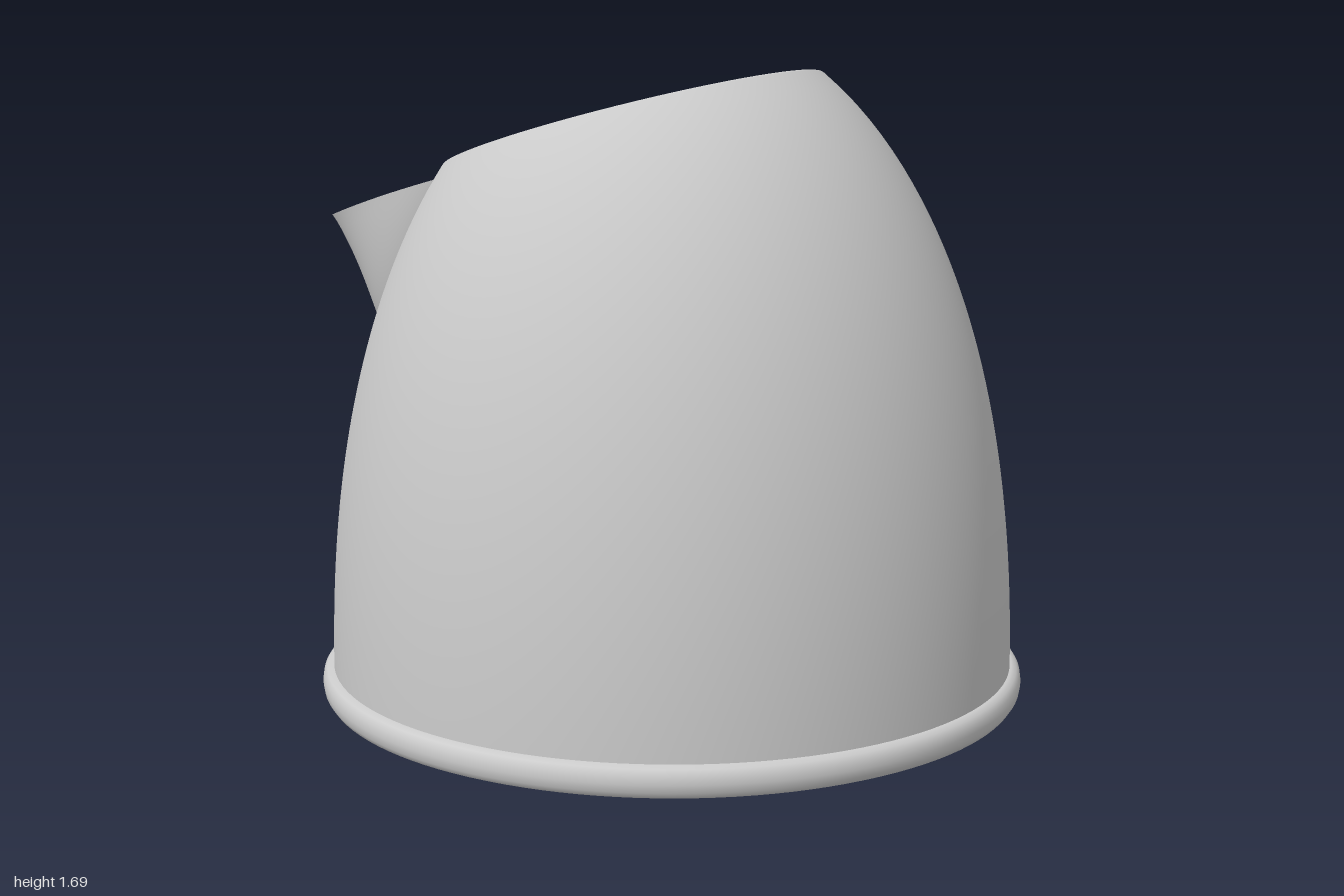
import * as THREE from 'three';

const material = new THREE.MeshStandardMaterial({ color: 0xcccccc, side: THREE.DoubleSide });
const { lerp } = THREE.MathUtils;

// Surface from rows of points; wrap joins the last column to the first.
function loft(rows, wrap) {
  const n = rows[0].length, cols = wrap ? n : n - 1, index = [];
  for (let i = 0; i < rows.length - 1; i++) {
    for (let j = 0; j < cols; j++) {
      const a = i * n + j, c = i * n + ((j + 1) % n);
      index.push(a, a + n, c, a + n, c + n, c);
    }
  }
  const geometry = new THREE.BufferGeometry().setFromPoints(rows.flat());
  geometry.setIndex(index);
  geometry.computeVertexNormals();
  return geometry;
}

function addMesh(parent, name, geometry) {
  const mesh = new THREE.Mesh(geometry, material);
  mesh.name = name;
  parent.add(mesh);
}

// Dome radius at a height, and the slanted plane that cuts the mouth.
const radiusAt = (y) => 0.94 * Math.sqrt(1 - Math.pow(Math.max(y, 0) / 1.841, 2.3));
const cutAt = (u) => 1.58 + 0.255 * u;

function mouthHeight(angle) {
  let low = 1, high = 1.84;
  for (let k = 0; k < 40; k++) {
    const mid = (low + high) / 2;
    if (mid < cutAt(radiusAt(mid) * Math.cos(angle))) low = mid;
    else high = mid;
  }
  return low;
}

// Thin dome: outer wall, rounded lip, inner wall
function bodyGeometry() {
  const around = 128, steps = 40, lip = 8, wall = 0.024;
  const rows = Array.from({ length: 2 * steps + lip + 1 }, () => []);
  for (let j = 0; j < around; j++) {
    const angle = (j / around) * Math.PI * 2, top = mouthHeight(angle);
    for (let i = 0; i < rows.length; i++) {
      const f = i <= steps ? i / steps : i < steps + lip ? 1 : (2 * steps + lip - i) / steps;
      const turn = THREE.MathUtils.clamp((i - steps) / lip, 0, 1) * Math.PI;
      const y = lerp(0.02, top, f);
      const slope = (radiusAt(y + 0.001) - radiusAt(y - 0.001)) / 0.002;
      const tangent = new THREE.Vector2(slope, 1).normalize();
      const inward = (wall / 2) * (1 - Math.cos(turn)), up = (wall / 2) * Math.sin(turn);
      const r = radiusAt(y) - tangent.y * inward + tangent.x * up;
      const h = y + tangent.x * inward + tangent.y * up;
      rows[i].push(new THREE.Vector3(r * Math.cos(angle), h, r * Math.sin(angle)));
    }
  }
  return loft(rows, true);
}

// One side of the spout sheet at depth t (0 = upper edge, 1 = lowest point)
function spoutArc(t, inset) {
  const half = 24, points = [];
  const fullWidth = 0.3 * Math.pow(1 - t, 0.6);
  const width = Math.max(0, fullWidth - inset * 0.75);
  const tip = -1.05 + 0.2 * Math.pow(t, 0.9) + inset;
  const wallRadius = radiusAt(lerp(1.41, 0.86, t)) - 0.045;
  const end = -Math.sqrt(wallRadius ** 2 - fullWidth ** 2);
  for (let k = -half; k <= half; k++) {
    const s = (k / half) ** 2;
    const v = Math.sign(k) * width * Math.pow(1 - Math.pow(1 - s, 1.7), 1 - 0.4 * t);
    const u = lerp(tip, end, s);
    points.push(new THREE.Vector3(u, lerp(1.28 + 0.245 * (u + 1.05), 0.86, t), v));
  }
  return points;
}

export function createModel() {
  const model = new THREE.Group();
  model.name = 'kettleBody';
  model.position.x = 0.03;
  model.rotation.y = -0.195;

  addMesh(model, 'body', bodyGeometry());

  // Rounded foot ring
  const ring = [[0.918, 0.06], [0.92, 0.01], [0.93, 0.002], [0.945, 0], [0.958, 0.006], [0.967, 0.02],
    [0.97, 0.04], [0.967, 0.06], [0.958, 0.074], [0.945, 0.08], [0.93, 0.08]];
  addMesh(model, 'footRing', new THREE.LatheGeometry(ring.map(([r, y]) => new THREE.Vector2(r, y)), 128));

  // Pointed spout: folded sheet with thickness and a flat upper edge
  const spout = new THREE.Group();
  spout.name = 'spout';
  const rows = [];
  for (let i = 0; i <= 30; i++) {
    const t = 1 - (1 - i / 30) ** 1.6;
    rows.push([...spoutArc(t, 0), ...spoutArc(t, 0.022).reverse()]);
  }
  addMesh(spout, 'spoutWall', loft(rows, true));
  addMesh(spout, 'spoutEdge', loft([spoutArc(0, 0.022), spoutArc(0, 0)], false));
  model.add(spout);

  const group = new THREE.Group();
  group.name = 'kettle';
  group.add(model);
  return group;
}
